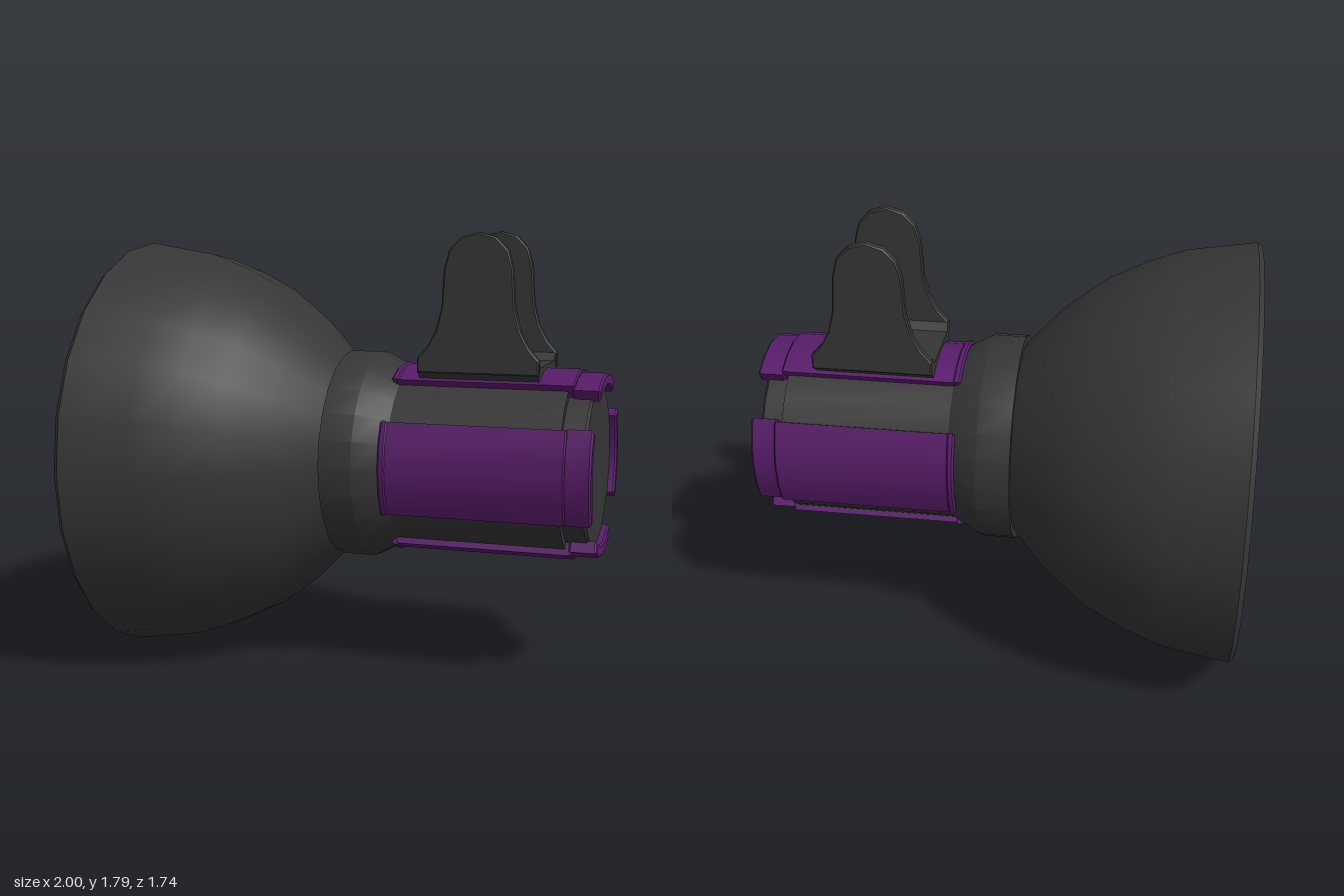
import * as THREE from 'three';
import { toCreasedNormals } from 'three/addons/utils/BufferGeometryUtils.js';

const AXIS_Y = 0.87;
const paint = (color) => new THREE.MeshStandardMaterial({ color });
const grey = paint(0x363636);
const purple = paint(0x581c69);
const green = paint(0x2f7a3c);

function part(name, geometry, material, crease = 0.5) {
  const mesh = new THREE.Mesh(toCreasedNormals(geometry, crease), material);
  mesh.name = name;
  return mesh;
}

// Turned part along the x axis; profile is a list of [x, radius]
function turned(name, profile, material, crease) {
  const pts = profile.map(([x, r]) => new THREE.Vector2(r, x));
  const g = new THREE.LatheGeometry(pts, 24);
  g.rotateZ(-Math.PI / 2);
  return part(name, g, material, crease);
}

// Cross-section in the z-y plane pushed along x from x0 to x1, with a small bevel
function extrudeX(shape, x0, x1, bevel) {
  const g = new THREE.ExtrudeGeometry(shape, {
    depth: x1 - x0 - 2 * bevel,
    bevelEnabled: bevel > 0,
    bevelSize: bevel,
    bevelThickness: bevel,
    bevelOffset: -bevel,
    bevelSegments: 1,
    curveSegments: 1,
  });
  g.rotateY(Math.PI / 2);
  g.translate(x0 + bevel, 0, 0);
  return g;
}

// Curved slab wrapped round the axis, centred on the top
function arcSlab(r0, r1, half, x0, x1, bevel) {
  const pts = [];
  const steps = 4;
  for (let i = 0; i <= steps; i++) {
    const a = half - (2 * half * i) / steps;
    pts.push(new THREE.Vector2(r1 * Math.sin(a), r1 * Math.cos(a)));
  }
  for (let i = 0; i <= steps; i++) {
    const a = -half + (2 * half * i) / steps;
    pts.push(new THREE.Vector2(r0 * Math.sin(a), r0 * Math.cos(a)));
  }
  return extrudeX(new THREE.Shape(pts), x0, x1, bevel);
}

export function createModel() {
  const model = new THREE.Group();
  model.name = 'lamp';
  const barrel = new THREE.Group();
  barrel.name = 'barrel';
  barrel.position.y = AXIS_Y;
  model.add(barrel);

  // Flared reflector: inner wall, rim, outer wall
  const flare = [[-0.07, 0.4], [-0.22, 0.56], [-0.39, 0.69], [-0.55, 0.77], [-0.7, 0.825]];
  const inner = flare.map(([x, r]) => [x - 0.015, r - 0.02]);
  barrel.add(turned('reflector', [
    [-0.085, 0], ...inner, [-0.99, 0.845],
    [-1, 0.855], [-0.98, 0.87],
    ...flare.slice().reverse(),
  ], grey, 0.6));

  // Bulb inside the reflector
  const bulb = [[-0.06, 0.1], [-0.22, 0.12], [-0.32, 0.16]].reverse();
  const dome = [];
  for (let i = 0; i <= 6; i++) {
    const a = (i / 6) * Math.PI / 2;
    dome.push([-0.42 - 0.18 * Math.cos(a), 0.18 * Math.sin(a)]);
  }
  barrel.add(turned('bulb', [...dome, ...bulb], green, 0.9));

  // Collar, body and end cap
  barrel.add(turned('collar', [
    [-0.07, 0], [-0.07, 0.43], [0.065, 0.43], [0.16, 0.38], [0.19, 0.36], [0.19, 0],
  ], grey));
  barrel.add(turned('body', [[0.15, 0], [0.15, 0.36], [0.875, 0.36], [0.875, 0]], grey));
  barrel.add(turned('endCap', [[0.86, 0], [0.86, 0.33], [0.96, 0.33], [0.97, 0.32], [0.97, 0]], grey));

  // Four grip panels, each with a raised lip and a stepped end
  for (let i = 0; i < 4; i++) {
    const grip = new THREE.Group();
    grip.name = 'grip' + (i + 1);
    grip.rotation.x = (i * Math.PI) / 2;
    grip.add(
      part('gripPanel', arcSlab(0.33, 0.385, 0.505, 0.17, 0.9, 0.006), purple),
      part('gripLip', arcSlab(0.34, 0.391, 0.51, 0.16, 0.192, 0.008), purple),
      part('gripEnd', arcSlab(0.322, 0.372, 0.53, 0.89, 1, 0.008), purple),
    );
    barrel.add(grip);
  }

  // Mounting clip: a base with chamfered inner corners and two rounded tabs
  const clip = new THREE.Group();
  clip.name = 'clip';
  const base = new THREE.Shape([
    [-0.2, 1.245], [-0.17, 1.215], [0.17, 1.215], [0.2, 1.245],
    [0.2, 1.3], [0.17, 1.3], [0.145, 1.268], [-0.145, 1.268], [-0.17, 1.3], [-0.2, 1.3],
  ].map(([z, y]) => new THREE.Vector2(z, y)));
  clip.add(part('clipBase', extrudeX(base, 0.272, 0.758, 0), grey));

  const halfTab = [
    [0.245, 1.24], [0.245, 1.3], [0.205, 1.345], [0.17, 1.41], [0.147, 1.5],
    [0.138, 1.65], [0.118, 1.725], [0.07, 1.775],
  ];
  const outline = [
    ...halfTab, [0, 1.795],
    ...halfTab.slice().reverse().map(([x, y]) => [-x, y]),
  ].map(([x, y]) => new THREE.Vector2(x + 0.517, y));
  for (const side of [1, -1]) {
    const g = new THREE.ExtrudeGeometry(new THREE.Shape(outline), {
      depth: 0.026, bevelSize: 0.006, bevelThickness: 0.006, bevelOffset: -0.006, bevelSegments: 1,
    });
    g.translate(0, 0, side * 0.19 - 0.013);
    clip.add(part(side > 0 ? 'frontTab' : 'backTab', g, grey));
  }
  model.add(clip);
  return model;
}
